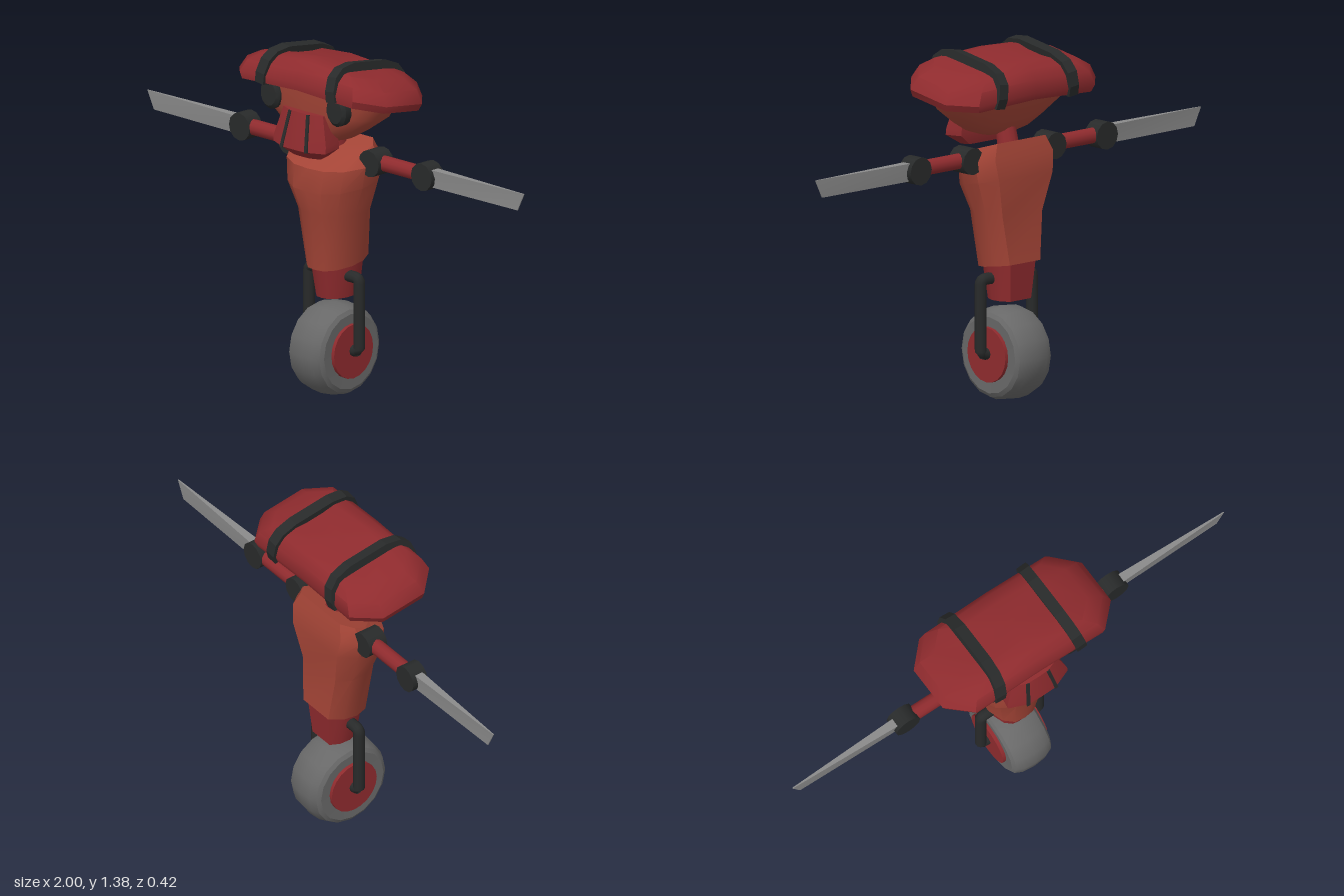
import * as THREE from 'three';
import { toCreasedNormals } from 'three/addons/utils/BufferGeometryUtils.js';

const paint = (color) => new THREE.MeshStandardMaterial({ color });
const V = (x, y, z) => new THREE.Vector3(x, y, z);

// Skin a stack of closed rings (bottom to top, +z towards +x) and cap both ends.
function loft(rings, crease = 0.6) {
  const n = rings[0].length, pos = [], idx = [];
  rings.forEach((r) => r.forEach((p) => pos.push(p.x, p.y, p.z)));
  for (let i = 0; i < rings.length - 1; i++) {
    for (let j = 0; j < n; j++) {
      const a = i * n + j, b = i * n + (j + 1) % n;
      idx.push(a, b, b + n, a, b + n, a + n);
    }
  }
  [0, rings.length - 1].forEach((i) => {
    const c = pos.length / 3;
    const mid = rings[i].reduce((s, p) => s.add(p), V(0, 0, 0)).divideScalar(n);
    pos.push(mid.x, mid.y, mid.z);
    for (let j = 0; j < n; j++) {
      const a = i * n + j, b = i * n + (j + 1) % n;
      if (i === 0) idx.push(c, b, a);
      else idx.push(c, a, b);
    }
  });
  const g = new THREE.BufferGeometry();
  g.setAttribute('position', new THREE.Float32BufferAttribute(pos, 3));
  g.setIndex(idx);
  return toCreasedNormals(g, crease);
}

// Complete a plan outline given from front centre to the +x back corner.
const mirrorPlan = (half) => [
  ...half,
  ...half.filter(([x]) => x > 0).reverse().map(([x, z]) => [-x, z]),
];

// Ring from a unit plan, with its own height and depth at front and back.
const ring = (plan, [yf, zf, yb, zb, hw]) => plan.map(([x, z]) => {
  const t = (z + 1) / 2;
  return V(x * hw, yb + (yf - yb) * t, zb + (zf - zb) * t);
});

export function createModel() {
  const rust = paint(0xa34436), red = paint(0x8f2b2e), dark = paint(0x282a2a);
  const rubber = paint(0x686868), steel = paint(0x8a8a8a);
  const model = new THREE.Group();
  const add = (name, geo, mat, parent = model) => {
    const m = new THREE.Mesh(geo, mat);
    m.name = name;
    parent.add(m);
    return m;
  };
  const Z = -0.02;

  // Wheel: rounded tyre and hub discs
  const tyre = [[0.02, -0.085], [0.15, -0.09], [0.166, -0.08], [0.179, -0.05], [0.184, 0],
    [0.179, 0.05], [0.166, 0.08], [0.15, 0.09], [0.02, 0.085]].map(([r, y]) => new THREE.Vector2(r, y));
  const tyreMesh = add('tyre', toCreasedNormals(new THREE.LatheGeometry(tyre, 16).rotateZ(Math.PI / 2), 0.6), rubber);
  tyreMesh.position.set(0, 0.184, Z);
  add('hub', new THREE.CylinderGeometry(0.108, 0.108, 0.206, 20).rotateZ(Math.PI / 2), red).position.set(0, 0.187, Z);

  // Waist and torso
  const plan = mirrorPlan([[0, 1], [0.4, 0.95], [0.76, 0.66], [1, 0.1], [1, -0.5], [0.75, -1]]);
  add('waist', loft([
    [0.395, 0.05, 0.4, -0.102, 0.072],
    [0.56, 0.08, 0.58, -0.118, 0.09],
  ].map((s) => ring(plan, s))), red);
  add('torso', loft([
    [0.515, 0.087, 0.55, -0.127, 0.105],
    [0.745, 0.109, 0.74, -0.112, 0.137],
    [0.84, 0.138, 0.89, -0.132, 0.185],
    [0.93, 0.127, 0.97, -0.122, 0.2],
    [0.975, 0.06, 1.03, -0.105, 0.165],
  ].map((s) => ring(plan, s))), rust);

  // Neck
  const neck = add('neck', new THREE.CylinderGeometry(0.034, 0.046, 0.22, 12), red);
  neck.position.set(0, 1.05, -0.02);
  neck.rotation.x = 0.2;

  // Bowl-shaped head
  const oval = Array.from({ length: 24 }, (_, i) => {
    const a = (i / 24) * Math.PI * 2, e = (v) => Math.sign(v) * Math.abs(v) ** 0.8;
    return [e(Math.sin(a)), e(Math.cos(a))];
  });
  add('head', loft([
    [1.04, 0.08, 1.04, -0.01, 0.08],
    [1.06, 0.115, 1.06, -0.045, 0.14],
    [1.1, 0.135, 1.1, -0.075, 0.205],
    [1.165, 0.147, 1.165, -0.112, 0.295],
    [1.25, 0.152, 1.21, -0.128, 0.325],
  ].map((s) => ring(oval, s)), 0.9), rust);

  // Tilted cap with two straps
  const cap = new THREE.Group();
  cap.name = 'cap';
  cap.position.set(0, 1.23, 0);
  cap.rotation.x = -0.15;
  model.add(cap);
  const rim = mirrorPlan([[0, 0.195], [0.3, 0.195], [0.39, 0.1], [0.39, -0.1], [0.3, -0.195], [0, -0.195]]);
  const layers = [[-0.003, 0.97, 0.96], [0.025, 1, 1], [0.075, 0.93, 0.92], [0.108, 0.78, 0.76], [0.126, 0.5, 0.48]];
  add('capShell', loft(layers.map(([y, sx, sz]) => rim.map(([x, z]) =>
    V(x * sx, y - 0.02 * (x / 0.39) ** 2, z * sz))), 0.75), red, cap);
  const arc = [[0.2, -0.012], [0.206, 0.03], [0.192, 0.085], [0.155, 0.12], [0.09, 0.137]];
  const outline = [...arc, ...arc.map(([z, y]) => [-z, y]).reverse()];
  const strapShape = new THREE.Shape(outline.map(([z, y]) => new THREE.Vector2(z, y)));
  const strapGeo = new THREE.ExtrudeGeometry(strapShape, { depth: 0.045, bevelEnabled: false })
    .translate(0, 0, -0.0225).rotateY(-Math.PI / 2);

  // Jaw guard with two dark slots
  const jawPlan = mirrorPlan([[0, 1], [0.45, 0.97], [1, 0.45], [0.95, -1]]);
  add('jawGuard', loft([
    [0.985, 0.16, 0.99, 0.1, 0.085],
    [1.022, 0.205, 1.03, 0.09, 0.138],
    [1.05, 0.2, 1.05, 0.09, 0.138],
    [1.165, 0.175, 1.165, 0.09, 0.105],
  ].map((s) => ring(jawPlan, s)), 0.4), red);

  for (const s of [1, -1]) {
    const side = s > 0 ? 'left' : 'right';

    const strap = add(side + 'Strap', strapGeo, dark, cap);
    strap.position.x = s * 0.188;
    strap.rotation.z = s * 0.13;

    const slot = add(side + 'JawSlot', new THREE.BoxGeometry(0.014, 0.148, 0.01), dark);
    slot.position.set(s * 0.056, 1.092, 0.188);
    slot.rotation.set(-0.21, 0, s * 0.12);

    // Eye: bevelled disc
    const eyeProfile = [[0, -0.05], [0.05, -0.05], [0.052, 0.005], [0.04, 0.018], [0, 0.02]]
      .map(([r, y]) => new THREE.Vector2(r, y));
    const eye = add(side + 'Eye', toCreasedNormals(new THREE.LatheGeometry(eyeProfile, 14).rotateX(Math.PI / 2), 0.5), dark);
    eye.scale.y = 1.2;
    eye.position.set(s * 0.175, 1.2, 0.145);

    // Arm: shoulder drum, rod, elbow drum
    const drum = (r, l) => new THREE.CylinderGeometry(r, r, l, 12).rotateX(Math.PI / 2);
    add(side + 'Shoulder', drum(0.053, 0.083), dark).position.set(s * 0.215, 0.968, -0.028);
    add(side + 'Arm', new THREE.CylinderGeometry(0.031, 0.031, 0.28, 12).rotateZ(Math.PI / 2), red)
      .position.set(s * 0.345, 0.97, -0.03);
    add(side + 'Elbow', drum(0.055, 0.068), dark).position.set(s * 0.483, 0.968, -0.032);

    // Blade: tapers to a thin, slanted tip
    const blade = new THREE.BoxGeometry(0.5, 0.072, 0.038);
    const p = blade.attributes.position;
    for (let i = 0; i < p.count; i++) {
      if (p.getX(i) * s > 0) {
        p.setZ(i, p.getZ(i) * 0.1);
        if (p.getY(i) < 0) p.setX(i, s * 0.215);
      } else if (p.getY(i) < 0) p.setZ(i, p.getZ(i) * 0.5);
    }
    blade.computeVertexNormals();
    add(side + 'Blade', blade, steel).position.set(s * 0.75, 0.966, -0.03);

    // Fork tube from the waist down to the axle
    const path = new THREE.CatmullRomCurve3([
      [0.06, 0.485], [0.115, 0.485], [0.128, 0.48], [0.133, 0.467],
      [0.133, 0.212], [0.128, 0.198], [0.115, 0.192], [0.08, 0.192],
    ].map(([x, y]) => V(s * x, y, Z)), false, 'catmullrom', 0.2);
    add(side + 'Fork', new THREE.TubeGeometry(path, 48, 0.023, 10), dark);
  }

  return model;
}
